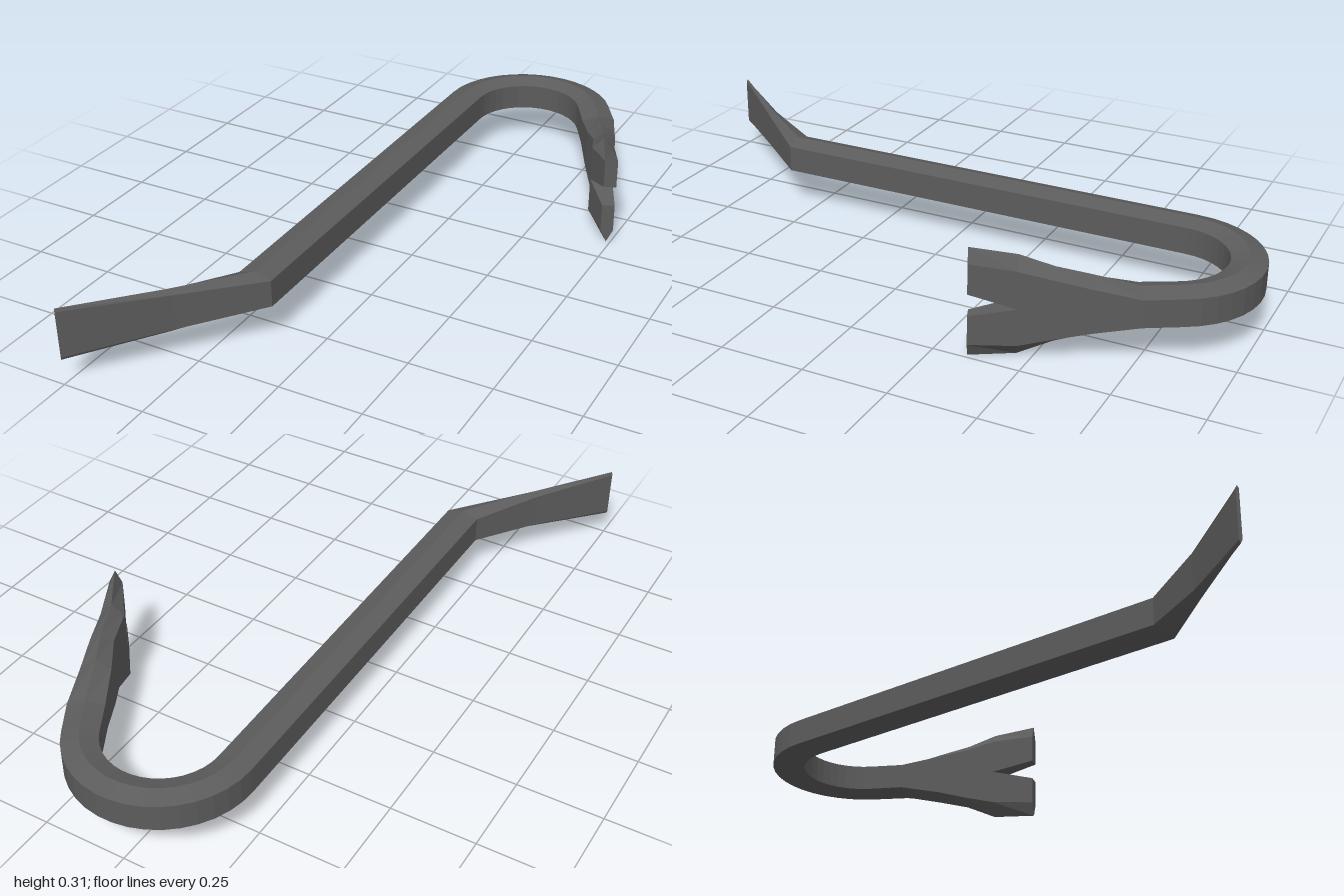
import * as THREE from 'three';

const MID = 0.16; // height of the bar's centre line

// Hexagonal section: outer and inner side [x, z], then heights of the side edges and ridges
function section(out, inn, flatLow, flatHigh, ridgeLow, ridgeHigh) {
  const mid = [(out[0] + inn[0]) / 2, (out[1] + inn[1]) / 2];
  const at = (p, y) => [p[0], y, p[1]];
  return [at(out, flatLow), at(out, flatHigh), at(mid, ridgeHigh),
    at(inn, flatHigh), at(inn, flatLow), at(mid, ridgeLow)];
}

const even = (out, inn, flat = 0.04, ridge = 0.056) =>
  section(out, inn, MID - flat, MID + flat, MID - ridge, MID + ridge);

// Skin a row of equal-length loops, with optional end caps
function loft(name, loops, capStart, capEnd, material) {
  const pos = [];
  const tri = (a, b, c) => pos.push(...a, ...b, ...c);
  const n = loops[0].length;
  for (let i = 0; i < loops.length - 1; i++) {
    for (let j = 0; j < n; j++) {
      const k = (j + 1) % n;
      const [p, q] = [loops[i], loops[i + 1]];
      tri(p[j], p[k], q[k]);
      tri(p[j], q[k], q[j]);
    }
  }
  const last = loops[loops.length - 1];
  for (let j = 1; j < n - 1; j++) {
    if (capStart) tri(loops[0][0], loops[0][j + 1], loops[0][j]);
    if (capEnd) tri(last[0], last[j], last[j + 1]);
  }
  const geometry = new THREE.BufferGeometry();
  geometry.setAttribute('position', new THREE.Float32BufferAttribute(pos, 3));
  geometry.computeVertexNormals();
  const mesh = new THREE.Mesh(geometry, material);
  mesh.name = name;
  return mesh;
}

export function createModel() {
  const group = new THREE.Group();
  group.name = 'pryBar';
  const steel = new THREE.MeshStandardMaterial({ color: 0x5c5c5c, flatShading: true });

  // Flattened chisel end, bent away from the shaft
  const bend = even([-0.22, 0.58], [-0.12, 0.58]);
  const chisel = [
    even([-0.505, 0.994], [-0.499, 1.0], 0.07, 0.079),
    even([-0.335, 0.77], [-0.298, 0.775], 0.053, 0.066),
    bend,
  ];
  group.add(loft('chiselEnd', chisel, true, false, steel));

  // Straight shaft running into the round hook
  const hook = [];
  const steps = 16, endAngle = 0.507;
  for (let i = 0; i <= steps; i++) {
    const a = Math.PI + (endAngle - Math.PI) * i / steps;
    const side = r => [0.05 + r * Math.cos(a), -0.73 - r * Math.sin(a)];
    hook.push(even(side(0.27), side(0.17)));
  }
  group.add(loft('shaft', [bend, hook[0]], false, false, steel));
  group.add(loft('hook', hook, false, false, steel));

  // Neck flaring out towards the claw
  const root = section([0.45, -0.47], [0.39, -0.44], 0.045, 0.26, 0.005, 0.295);
  const neck = [
    hook[steps],
    even([0.34, -0.77], [0.25, -0.72]),
    section([0.385, -0.65], [0.31, -0.61], 0.095, 0.222, 0.074, 0.246),
    section([0.42, -0.56], [0.36, -0.53], 0.072, 0.242, 0.05, 0.268),
    root,
  ];
  group.add(loft('clawNeck', neck, false, false, steel));

  // Two prongs either side of the V notch
  const tip = section([0.505, -0.352], [0.47, -0.338], 0.045, 0.28, 0.005, 0.32);
  const upperHalf = (s, y) => [[s[0][0], y, s[0][2]], s[1], s[2], s[3], [s[3][0], y, s[3][2]]];
  const lowerHalf = (s, y) => [[s[4][0], y, s[4][2]], s[4], s[5], s[0], [s[0][0], y, s[0][2]]];
  group.add(loft('upperProng', [upperHalf(root, 0.152), upperHalf(tip, 0.193)], false, true, steel));
  group.add(loft('lowerProng', [lowerHalf(root, 0.152), lowerHalf(tip, 0.13)], false, true, steel));

  return group;
}
